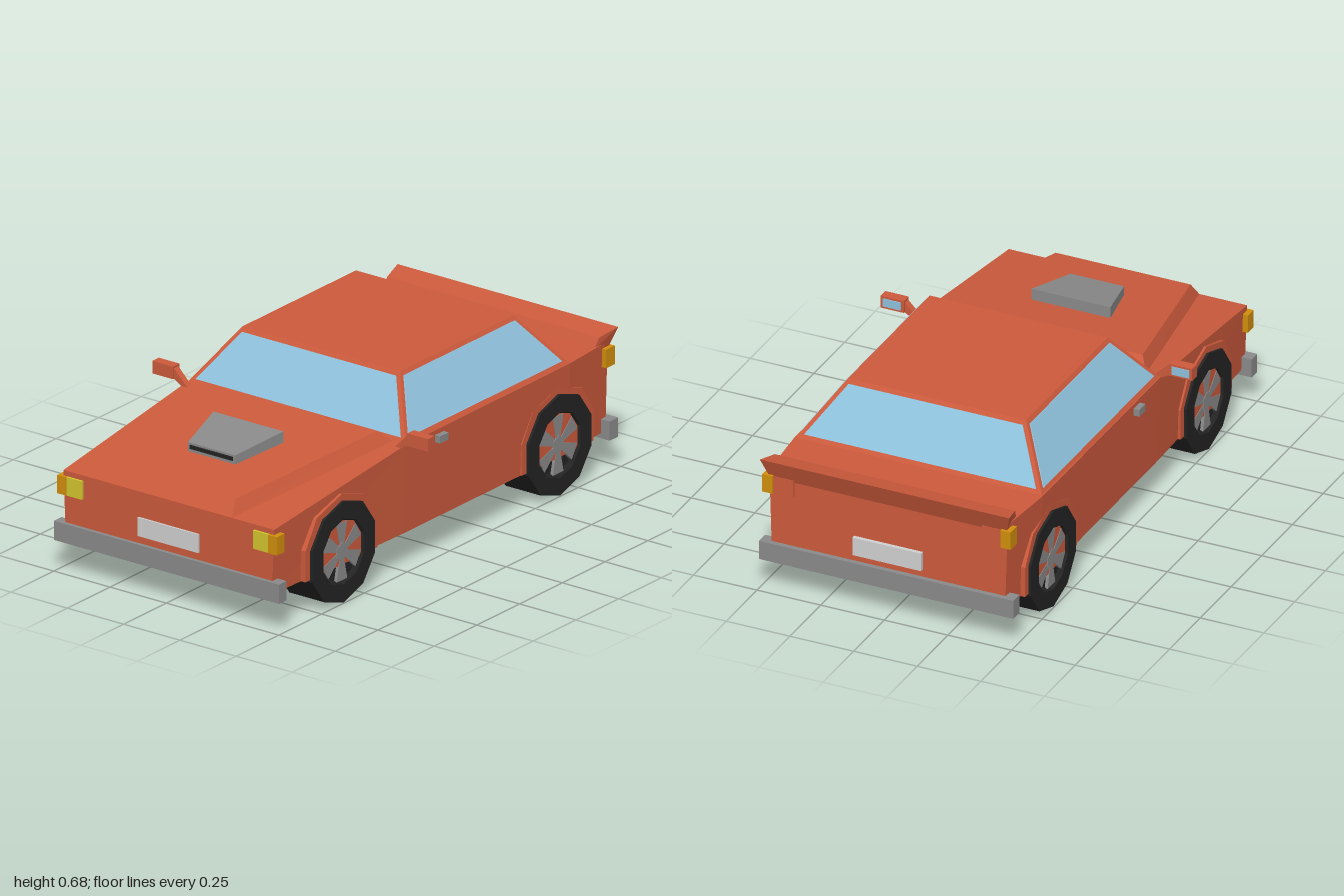
import * as THREE from 'three';

const mat = (name, color) => new THREE.MeshStandardMaterial({ name, color });

// Solid lofted through rings of [x, y, z] points, capped at both ends, faceted
function loft(rings) {
  const tris = [], n = rings[0].length, last = rings.length - 1;
  for (let r = 0; r < last; r++) {
    for (let i = 0; i < n; i++) {
      const j = (i + 1) % n, a = rings[r], b = rings[r + 1];
      tris.push([a[i], a[j], b[j]], [a[i], b[j], b[i]]);
    }
  }
  for (let i = 1; i < n - 1; i++) {
    tris.push([rings[0][0], rings[0][i + 1], rings[0][i]]);
    tris.push([rings[last][0], rings[last][i], rings[last][i + 1]]);
  }
  // A negative volume means the faces point inward, so turn them round
  let volume = 0;
  for (const [a, b, c] of tris) {
    const v = (p) => new THREE.Vector3(...p);
    volume += v(a).dot(v(b).cross(v(c)));
  }
  if (volume < 0) tris.forEach((t) => t.reverse());
  const geo = new THREE.BufferGeometry();
  geo.setAttribute('position', new THREE.Float32BufferAttribute(tris.flat(2), 3));
  geo.computeVertexNormals();
  return geo;
}

// Symmetric four-cornered ring from two [half width, y, z] edges
const ring = ([w1, y1, z1], [w2, y2, z2]) => [[-w1, y1, z1], [w1, y1, z1], [w2, y2, z2], [-w2, y2, z2]];

export function createModel() {
  const car = new THREE.Group();
  car.name = 'car';
  const paint = mat('red paint', 0xcc5a3c);
  const glass = mat('blue glass', 0x8fc1dc);
  const grey = mat('grey metal', 0x8a8a8a);
  const pale = mat('pale plate', 0xd0d0d0);
  const black = mat('black rubber', 0x232323);
  const yellow = mat('yellow lamp', 0xd2c52e);
  const orange = mat('orange lamp', 0xd08e0c);

  const add = (name, geo, material, parent = car) => {
    const mesh = new THREE.Mesh(geo, material);
    mesh.name = name;
    parent.add(mesh);
    return mesh;
  };
  // Box given by its limits
  const box = (name, material, x0, x1, y0, y1, z0, z1) => {
    const geo = new THREE.BoxGeometry(Math.abs(x1 - x0), y1 - y0, Math.abs(z1 - z0));
    geo.translate((x0 + x1) / 2, (y0 + y1) / 2, (z0 + z1) / 2);
    return add(name, geo, material);
  };

  // Lower body, swept from nose to tail
  add('body', loft([
    [0.985, 0.458, 0.468, 0.38], [0.24, 0.478, 0.488, 0.47],
    [-0.72, 0.478, 0.488, 0.472], [-0.965, 0.458, 0.468, 0.472],
  ].map(([z, low, high, top]) => ring([low, 0.13, z], [high, top, z]))), paint);

  // Raised hood panel
  add('hood', loft([
    ring([0.28, 0.38, 0.985], [0.43, 0.47, 0.24]),
    ring([0.265, 0.435, 0.945], [0.395, 0.515, 0.285]),
  ]), paint);

  // Hood scoop with dark intake
  add('hoodScoop', loft([
    ring([0.105, 0.45, 0.735], [0.155, 0.47, 0.52]),
    ring([0.105, 0.495, 0.735], [0.155, 0.53, 0.52]),
  ]), grey);
  box('scoopIntake', black, -0.095, 0.095, 0.472, 0.487, 0.732, 0.738);

  // Cabin: rectangle at height y, used for the shell and the windows
  const mix = THREE.MathUtils.lerp;
  const cabinAt = (y) => {
    const t = (y - 0.47) / 0.2;
    return { w: mix(0.485, 0.35, t), f: mix(0.24, 0.095, t), b: mix(-0.72, -0.57, t) };
  };
  add('cabin', loft([0.47, 0.67].map((y) => {
    const { w, f, b } = cabinAt(y);
    return ring([w, y, f], [w, y, b]);
  })), paint);

  // Windows as thin plates on the sloping cabin faces
  const post = 0.018, lift = 0.003;
  const window4 = (name, corners) => add(name, loft([-lift, lift].map((d) =>
    [...corners(0.487, d), ...corners(0.655, d).reverse()])), glass);
  window4('windshield', (y, d) => {
    const { w, f } = cabinAt(y);
    return [[-w + post, y, f + d], [w - post, y, f + d]];
  });
  window4('rearWindow', (y, d) => {
    const { w, b } = cabinAt(y);
    return [[-w + post, y, b - d], [w - post, y, b - d]];
  });
  for (const s of [-1, 1]) {
    window4('sideWindow', (y, d) => {
      const { w, f, b } = cabinAt(y);
      return [[s * (w + d), y, f - post], [s * (w + d), y, b + post]];
    });
  }

  // Tail spoiler
  add('spoiler', loft([
    ring([0.465, 0.465, -0.89], [0.465, 0.44, -0.965]),
    ring([0.472, 0.505, -0.912], [0.49, 0.522, -0.998]),
  ]), paint);

  // Bumpers and number plates
  box('frontBumper', grey, -0.5, 0.5, 0.11, 0.183, 0.955, 1.0);
  box('rearBumper', grey, -0.5, 0.5, 0.11, 0.183, -0.985, -0.935);
  box('frontPlate', pale, -0.135, 0.135, 0.212, 0.283, 0.983, 0.992);
  box('rearPlate', pale, -0.135, 0.135, 0.212, 0.283, -0.98, -0.96);

  // Tyre profile with a recessed rim, turned about the axle
  const tyreGeo = new THREE.LatheGeometry([
    [0, -0.078], [0.193, -0.078], [0.193, 0.078], [0.125, 0.078], [0.115, 0.058], [0, 0.058],
  ].map((p) => new THREE.Vector2(...p)), 10).toNonIndexed();
  tyreGeo.computeVertexNormals();
  tyreGeo.rotateX(Math.PI / 2);
  const spokeGeo = loft([0.05, 0.07].map((z) =>
    [[-0.012, 0.025, z], [0.012, 0.025, z], [0.031, 0.11, z], [-0.031, 0.11, z]]));
  const hubGeo = new THREE.CylinderGeometry(0.036, 0.036, 0.022, 6).toNonIndexed();
  hubGeo.computeVertexNormals();
  hubGeo.rotateX(Math.PI / 2);

  for (const s of [-1, 1]) {
    for (const z of [0.615, -0.65]) {
      // Wheel, facing outward
      const wheel = new THREE.Group();
      wheel.name = 'wheel';
      add('tyre', tyreGeo, black, wheel);
      add('hub', hubGeo, grey, wheel).position.z = 0.061;
      for (let i = 0; i < 6; i++) add('spoke', spokeGeo, grey, wheel).rotation.z = i * Math.PI / 3;
      wheel.rotation.y = s * Math.PI / 2;
      wheel.position.set(s * 0.418, 0.184, z);
      car.add(wheel);

      // Wheel arch
      const arch = [[0.21, 0.132], [0.21, 0.25], [0.145, 0.355], [0, 0.402],
        [-0.145, 0.355], [-0.21, 0.25], [-0.21, 0.132]];
      add('wheelArch', loft([0.43, 0.486].map((x) => arch.map(([dz, y]) => [s * x, y, z + dz]))), paint);
    }

    // Lamps
    box('headlight', yellow, s * 0.38, s * 0.448, 0.29, 0.36, 0.95, 0.994);
    box('frontIndicator', orange, s * 0.448, s * 0.488, 0.29, 0.36, 0.95, 0.996);
    box('tailLight', paint, s * 0.37, s * 0.448, 0.385, 0.45, -0.972, -0.94);
    box('rearIndicator', orange, s * 0.448, s * 0.488, 0.385, 0.455, -0.982, -0.93);

    // Door handle
    box('doorHandle', grey, s * 0.475, s * 0.51, 0.425, 0.452, 0.02, 0.07);

    // Mirror: slanted arm, housing and glass
    add('mirrorArm', loft([0.245, 0.27].map((z) =>
      [[s * 0.46, 0.465, z], [s * 0.488, 0.465, z], [s * 0.525, 0.487, z], [s * 0.525, 0.53, z]])), paint);
    box('mirrorHousing', paint, s * 0.52, s * 0.612, 0.485, 0.533, 0.238, 0.276);
    box('mirrorGlass', glass, s * 0.532, s * 0.602, 0.493, 0.525, 0.235, 0.24);
  }
  return car;
}
